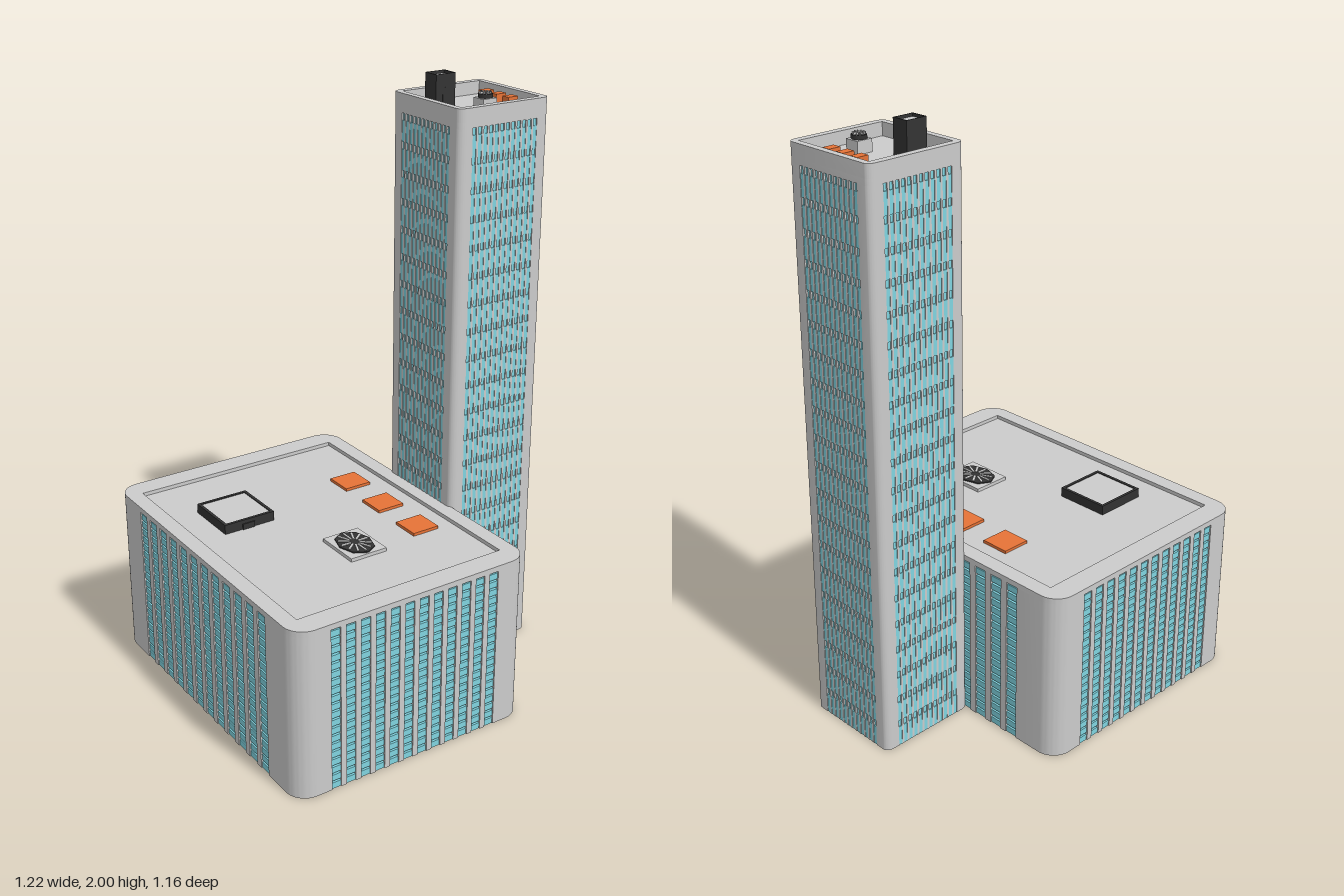
import * as THREE from 'three';
import { mergeGeometries, toCreasedNormals } from 'three/addons/utils/BufferGeometryUtils.js';

const mat = (color) => new THREE.MeshStandardMaterial({ color });
const grey = mat(0xcccccc), glass = mat(0x80d4e0), dark = mat(0x333333), orange = mat(0xe67337);

// Building proportions, before each copy is scaled
const HX = 0.436, HZ = 0.582, R = 0.07, H = 0.585, WIN_H = 0.566, ROOF = 0.572;
const COLS = 12, ROWS = 20, SLOT = 0.018;

// Four sides, counter-clockwise: direction d along the wall, outward normal n
const sides = [0, 1, 2, 3].map((k) => {
  const a = k * Math.PI / 2, c = Math.round(Math.cos(a)), s = Math.round(Math.sin(a)), even = k % 2 === 0;
  return {
    a, d: [c, s], n: [s, -c],
    half: even ? HX : HZ, out: even ? HZ : HX,
    pitch: even ? 0.0537 : 0.0705, width: even ? 0.034 : 0.045,
  };
});
const offset = (side, i) => (i - (COLS - 1) / 2) * side.pitch;

// Rounded floor plan, optionally notched for the window columns
function floorPlan(notched) {
  const shape = new THREE.Shape();
  sides.forEach((side, k) => {
    const { a, d, n, half, out, width } = side;
    const at = (u, v) => [d[0] * u + n[0] * v, d[1] * u + n[1] * v];
    if (k === 0) shape.moveTo(...at(R - half, out));
    if (notched) {
      for (let i = 0; i < COLS; i++) {
        const u0 = offset(side, i) - width / 2, u1 = u0 + width;
        shape.lineTo(...at(u0, out));
        shape.lineTo(...at(u0, out - SLOT));
        shape.lineTo(...at(u1, out - SLOT));
        shape.lineTo(...at(u1, out));
      }
    }
    shape.lineTo(...at(half - R, out));
    shape.absarc(...at(half - R, out - R), R, a - Math.PI / 2, a, false);
  });
  return shape;
}

// Extrudes a floor plan upwards between two heights
function slab(shape, y0, y1) {
  const g = new THREE.ExtrudeGeometry(shape, { depth: y1 - y0, bevelEnabled: false, curveSegments: 8 });
  g.rotateX(-Math.PI / 2).translate(0, y0, 0);
  return toCreasedNormals(g, 0.6);
}

// Rectangle outline, for holes and frames
function rect(hx, hz, Type = THREE.Path) {
  const p = new Type();
  p.moveTo(-hx, -hz).lineTo(hx, -hz).lineTo(hx, hz).lineTo(-hx, hz).closePath();
  return p;
}

// One column of stacked panes with narrow recessed bands between the floors
function windowColumn(width) {
  const s = new THREE.Shape(), step = WIN_H / ROWS;
  s.moveTo(-SLOT - 0.002, 0);
  for (let r = 0; r < ROWS; r++) {
    const y = r * step;
    s.lineTo(-0.004, y).lineTo(-0.004, y + step * 0.75);
    s.lineTo(-0.014, y + step * 0.75).lineTo(-0.014, y + step);
  }
  s.lineTo(-SLOT - 0.002, WIN_H);
  return new THREE.ExtrudeGeometry(s, { depth: width, bevelEnabled: false }).translate(0, 0, -width / 2);
}

function windowGeometry() {
  const parts = [];
  for (const side of sides) {
    for (let i = 0; i < COLS; i++) {
      const u = offset(side, i), { d, n, out } = side;
      parts.push(windowColumn(side.width).rotateY(side.a - Math.PI / 2)
        .translate(d[0] * u + n[0] * out, 0, -(d[1] * u + n[1] * out)));
    }
  }
  return mergeGeometries(parts);
}

function building(name) {
  const g = new THREE.Group();
  g.name = name;
  const add = (part, geometry, material, x = 0, y = 0, z = 0) => {
    const m = new THREE.Mesh(geometry, material);
    m.name = part;
    m.position.set(x, y, z);
    g.add(m);
    return m;
  };
  const box = (w, h, d) => new THREE.BoxGeometry(w, h, d);

  // Walls, roof deck and parapet
  add('walls', slab(floorPlan(true), 0, WIN_H), grey);
  add('roofDeck', slab(floorPlan(false), WIN_H, ROOF), grey);
  const rim = floorPlan(false);
  rim.holes.push(rect(HX - 0.055, HZ - 0.08));
  add('parapet', slab(rim, ROOF, H), grey);
  add('windows', windowGeometry(), glass);

  // Roof access housing with a dark frame, pale top and small door
  const hx = -0.189, hz = -0.195;
  const frame = rect(0.093, 0.095, THREE.Shape);
  frame.holes.push(rect(0.083, 0.085));
  add('housingFrame', slab(frame, ROOF, 0.605), dark, hx, 0, hz);
  add('housingTop', box(0.168, 0.03, 0.172), grey, hx, ROOF + 0.015, hz);
  add('housingDoor', box(0.045, 0.02, 0.006), dark, hx - 0.005, ROOF + 0.01, hz + 0.096);

  // Roof fan on a square base
  const fx = 0.024, fz = 0.203;
  add('fanBase', box(0.135, 0.012, 0.165), grey, fx, ROOF + 0.006, fz);
  const disc = add('fanDisc', new THREE.CylinderGeometry(1, 1, 0.004, 8), dark, fx, 0.586, fz);
  disc.scale.set(0.058, 1, 0.078);
  const blades = [];
  for (let i = 0; i < 12; i++) {
    blades.push(box(0.6, 0.003, 0.09).translate(0.55, 0, 0).rotateY(i * Math.PI / 6));
  }
  add('fanBlades', mergeGeometries(blades), grey, fx, 0.5885, fz).scale.set(0.058, 1, 0.078);

  // Row of three roof panels
  for (const z of [-0.195, 0.005, 0.204]) add('roofPanel', box(0.099, 0.01, 0.1), orange, 0.272, ROOF + 0.005, z);
  return g;
}

export function createModel() {
  const model = new THREE.Group();
  model.name = 'officeComplex';
  const block = building('lowBlock');
  block.position.x = -0.174;
  // The tower is a slender copy of the block
  const tower = building('tower');
  tower.position.x = 0.432;
  tower.scale.set(0.408, 2 / 0.605, 0.306);
  model.add(block, tower);
  return model;
}
